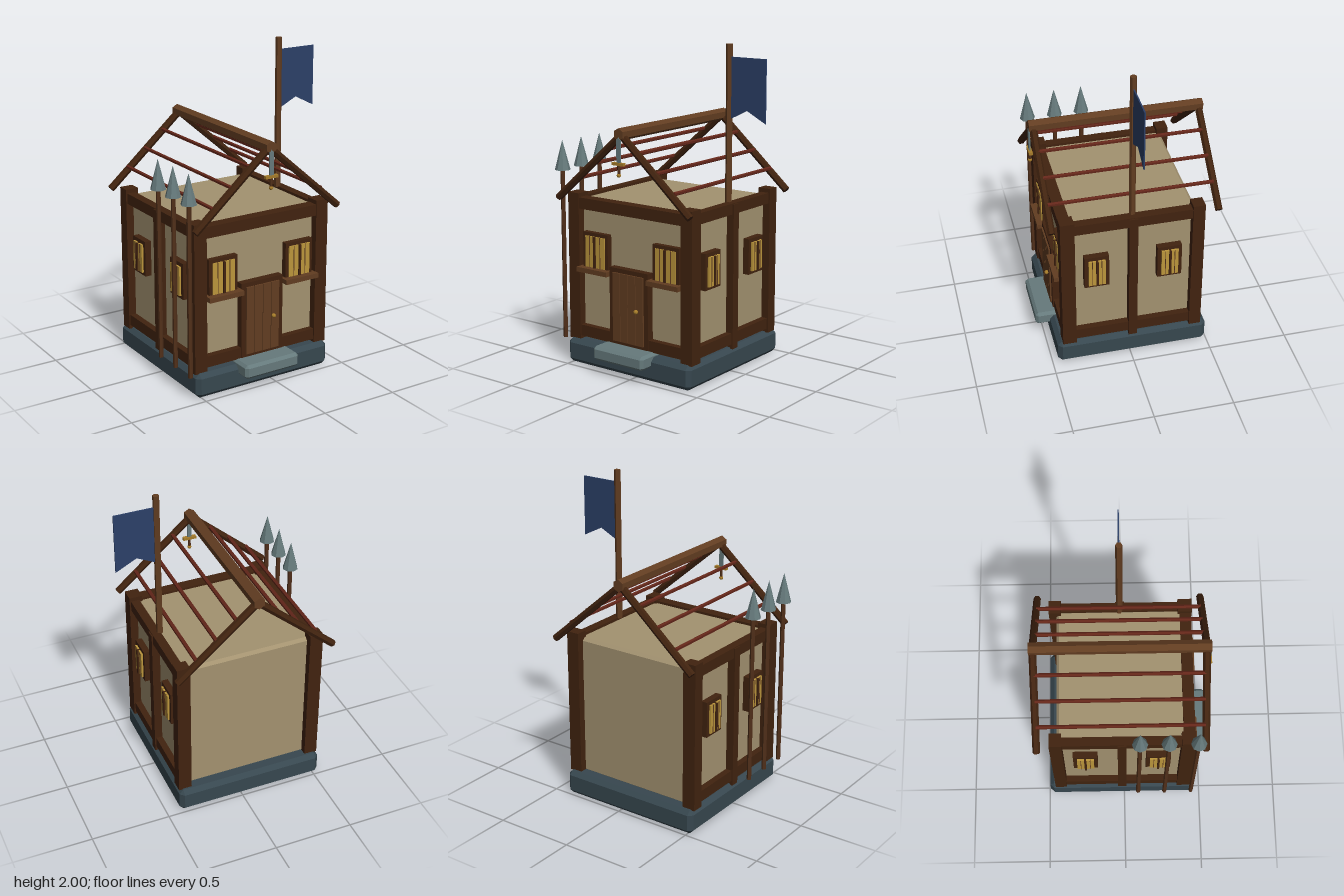
import * as THREE from 'three';
import { ConvexGeometry } from 'three/addons/geometries/ConvexGeometry.js';

const CX = -0.06; // middle of the house in x
const CZ = -0.015; // middle of the house in z

const material = (name, color) => {
  const m = new THREE.MeshStandardMaterial({ color });
  m.name = name;
  return m;
};

export function createModel() {
  const mats = {
    foundation: material('dark stone', 0x37474f),
    stone: material('light stone', 0x667a7c),
    plaster: material('plaster', 0xa39270),
    beam: material('dark timber', 0x41230f),
    wood: material('brown timber', 0x623d21),
    shaft: material('shaft timber', 0x52301a),
    redWood: material('red timber', 0x632619),
    glass: material('amber glass', 0xbc963c),
    brass: material('brass', 0xa67c2a),
    cloth: material('blue cloth', 0x2c4068),
  };
  const model = new THREE.Group();
  model.name = 'guardHouse';

  const add = (name, geometry, mat, parent = model) => {
    const mesh = new THREE.Mesh(geometry, mats[mat]);
    mesh.name = name;
    parent.add(mesh);
    return mesh;
  };
  const group = (name) => {
    const g = new THREE.Group();
    g.name = name;
    model.add(g);
    return g;
  };
  // Box given by its low and high limits on each axis
  const box = (name, x0, x1, y0, y1, z0, z1, mat, parent) => {
    const mesh = add(name, new THREE.BoxGeometry(x1 - x0, y1 - y0, z1 - z0), mat, parent);
    mesh.position.set((x0 + x1) / 2, (y0 + y1) / 2, (z0 + z1) / 2);
    return mesh;
  };
  // The same with all edges chamfered
  const chamferBox = (name, x0, x1, y0, y1, z0, z1, b, mat) => {
    const h = [(x1 - x0) / 2, (y1 - y0) / 2, (z1 - z0) / 2];
    const points = [];
    for (const sx of [-1, 1]) for (const sy of [-1, 1]) for (const sz of [-1, 1]) {
      for (let axis = 0; axis < 3; axis++) {
        const p = h.map((v, i) => (i === axis ? v : v - b));
        points.push(new THREE.Vector3(p[0] * sx, p[1] * sy, p[2] * sz));
      }
    }
    const mesh = add(name, new ConvexGeometry(points), mat);
    mesh.position.set((x0 + x1) / 2, (y0 + y1) / 2, (z0 + z1) / 2);
    return mesh;
  };
  const faceted = (geometry) => {
    const g = geometry.index ? geometry.toNonIndexed() : geometry;
    g.computeVertexNormals();
    return g;
  };
  // Faceted rod from a to b; r1 is the radius at b
  const rod = (name, a, b, r, mat, parent, sides = 6, r1 = r) => {
    const from = new THREE.Vector3(...a);
    const dir = new THREE.Vector3(...b).sub(from);
    const mesh = add(name, faceted(new THREE.CylinderGeometry(r1, r, dir.length(), sides)), mat, parent);
    mesh.position.copy(from).addScaledVector(dir, 0.5);
    mesh.quaternion.setFromUnitVectors(new THREE.Vector3(0, 1, 0), dir.normalize());
    return mesh;
  };

  // Foundation, doorstep and plaster body
  chamferBox('foundation', -0.535, 0.415, 0, 0.155, -0.493, 0.463, 0.027, 'foundation');
  chamferBox('doorstep', -0.25, 0.133, 0.09, 0.178, 0.36, 0.553, 0.017, 'stone');
  chamferBox('walls', -0.482, 0.362, 0.14, 1.04, -0.41, 0.385, 0.018, 'plaster');

  // Timber frame
  const frame = group('timberFrame');
  for (const s of [-1, 1]) {
    const x = CX + s * 0.43;
    for (const [z0, z1] of [[-0.455, -0.38], [0.345, 0.432]]) {
      box('cornerPost', x - 0.042, x + 0.042, 0.15, 1.08, z0, z1, 'beam', frame);
    }
    const bx = CX + s * 0.435;
    box('sideTopBeam', bx - 0.028, bx + 0.028, 0.988, 1.055, -0.4, 0.36, 'beam', frame);
    box('sideBottomBeam', bx - 0.028, bx + 0.028, 0.175, 0.245, -0.4, 0.36, 'beam', frame);
    const mx = CX + s * 0.44;
    box('middlePost', mx - 0.032, mx + 0.032, 0.145, 1.05, CZ - 0.027, CZ + 0.027, 'beam', frame);
  }
  box('frontTopBeam', -0.46, 0.34, 0.985, 1.055, 0.357, 0.428, 'beam', frame);
  box('frontBottomBeam', -0.46, 0.34, 0.175, 0.245, 0.357, 0.425, 'beam', frame);

  // Door with planks and knob
  const door = group('door');
  box('doorFrame', -0.208, 0.086, 0.18, 0.657, 0.36, 0.432, 'beam', door);
  for (let i = 0; i < 4; i++) {
    const x = -0.178 + i * 0.0592;
    box('doorPlank', x, x + 0.0555, 0.2, 0.63, 0.4, 0.442, 'wood', door);
  }
  const knob = add('doorKnob', faceted(new THREE.IcosahedronGeometry(0.014, 1)), 'brass', door);
  knob.position.set(0.01, 0.415, 0.452);

  // Window facing local +z, standing on its own bottom edge
  const makeWindow = (w, h, edge, side) => {
    const win = group('window');
    box('windowFrame', -w / 2, w / 2, 0, h, -0.05, 0, 'beam', win);
    const paneWidth = w / 2 - edge - 0.006;
    for (const s of [-1, 1]) {
      const c = s * (0.006 + paneWidth / 2);
      box('pane', c - paneWidth / 2, c + paneWidth / 2, edge * 0.8, h - edge, -0.02, side, 'glass', win);
      box('paneBar', c - 0.002, c + 0.002, edge * 0.8, h - edge, side - 0.01, side + 0.003, 'wood', win);
    }
    box('mullion', -0.007, 0.007, edge * 0.8, h - edge, -0.02, side + 0.01, 'beam', win);
    return win;
  };
  for (const x of [-0.328, 0.212]) {
    makeWindow(0.195, 0.235, 0.022, 0.006).position.set(x, 0.61, 0.42);
    box('windowSill', x - 0.118, x + 0.118, 0.596, 0.626, 0.37, 0.463, 'wood');
  }
  for (const s of [-1, 1]) {
    for (const z of [0.211, -0.243]) {
      const win = makeWindow(0.153, 0.225, 0.024, 0.012);
      win.rotation.y = s * Math.PI / 2;
      win.position.set(CX + s * 0.463, 0.575, z);
    }
  }

  // Open roof: gable rafters, ridge and purlins
  const roof = group('roofFrame');
  for (const z of [-0.528, 0.487]) {
    for (const s of [-1, 1]) {
      rod('rafter', [CX, 1.485, z], [CX + s * 0.499, 1.053, z], 0.023, 'beam', roof);
    }
  }
  rod('ridgeBeam', [CX, 1.49, -0.552], [CX, 1.49, 0.515], 0.038, 'wood', roof);
  for (const s of [-1, 1]) {
    for (let i = 0; i < 3; i++) {
      const x = CX + s * (0.127 + i * 0.126);
      const y = 1.387 - i * 0.104;
      rod('purlin', [x, y, -0.525], [x, y, 0.482], 0.0125, 'redWood', roof);
    }
  }

  // Flag and pole
  rod('flagPole', [0.351, 1.05, -0.018], [0.351, 2, -0.018], 0.02, 'wood', model, 6);
  const cloth = new THREE.Shape([
    [0.36, 1.925], [0.36, 1.556], [0.48, 1.615], [0.61, 1.548], [0.61, 1.925],
  ].map(([x, y]) => new THREE.Vector2(x, y)));
  add('flag', new THREE.ExtrudeGeometry(cloth, { depth: 0.008, bevelEnabled: false }), 'cloth')
    .position.z = -0.022;

  // Spears leaning by the right wall
  for (const z of [0.09, 0.263, 0.437]) {
    const spear = group('spear');
    rod('spearShaft', [-0.568, 0.145, z], [-0.568, 1.23, z], 0.014, 'shaft', spear);
    rod('spearHead', [-0.568, 1.215, z], [-0.568, 1.4, z], 0.048, 'stone', spear, 8, 0);
  }

  // Sword hanging point up under the ridge
  const sword = group('sword');
  const sz = 0.513;
  box('blade', CX - 0.014, CX + 0.014, 1.32, 1.465, sz - 0.005, sz + 0.005, 'stone', sword);
  const tip = rod('bladeTip', [CX, 1.465, sz], [CX, 1.485, sz], 0.014, 'stone', sword, 4, 0);
  tip.scale.z = 0.36;
  box('guard', CX - 0.043, CX + 0.043, 1.308, 1.325, sz - 0.012, sz + 0.012, 'brass', sword);
  rod('grip', [CX, 1.25, sz], [CX, 1.312, sz], 0.009, 'shaft', sword);
  const pommel = add('pommel', faceted(new THREE.IcosahedronGeometry(0.013, 1)), 'brass', sword);
  pommel.position.set(CX, 1.249, sz);

  return model;
}
